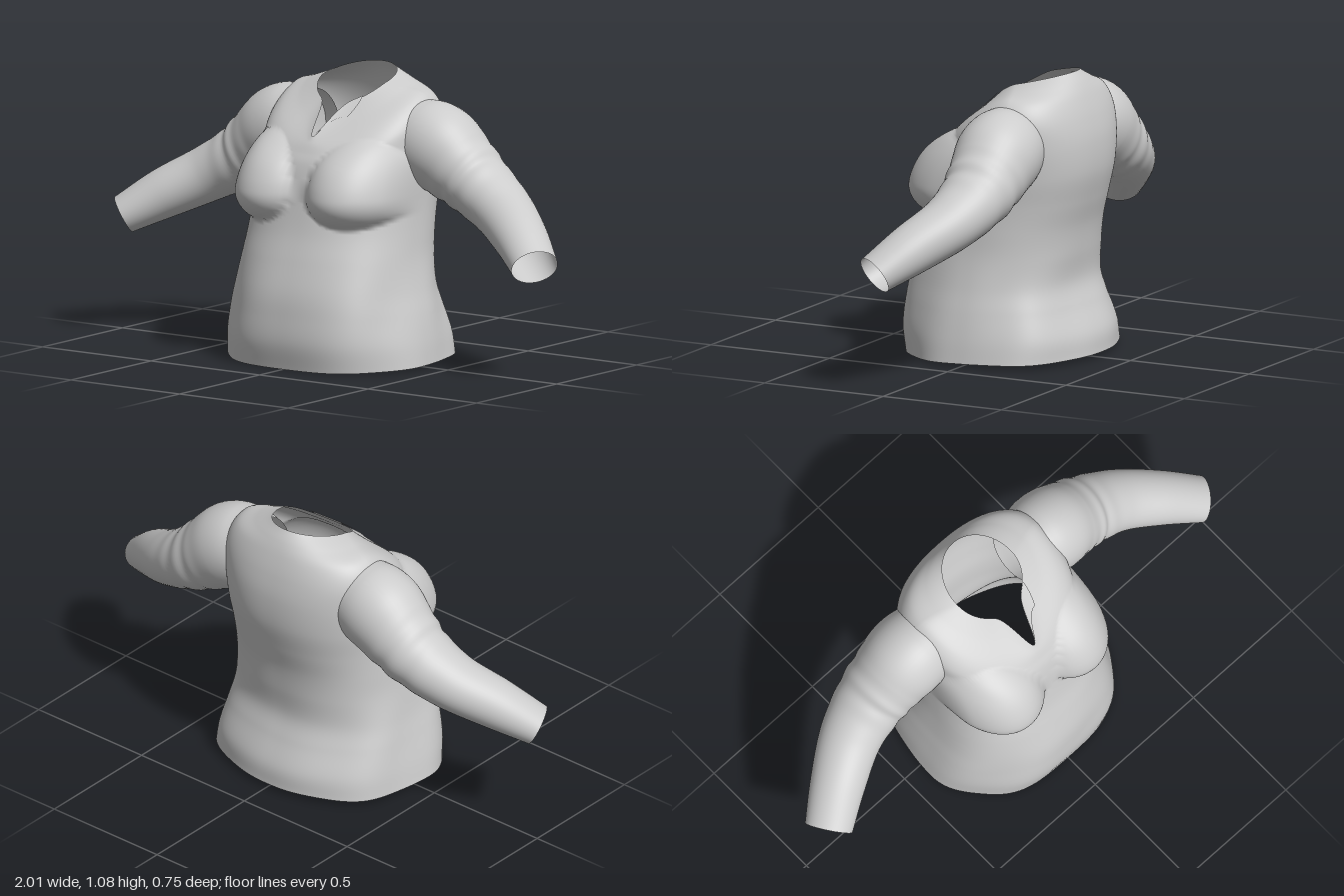
import * as THREE from 'three';

const cloth = new THREE.MeshStandardMaterial({ color: 0xcccccc, side: THREE.DoubleSide });
const { lerp, smoothstep } = THREE.MathUtils;

// Smooth keys: each row is a set of values, sampled at a fractional row number.
function sampler(rows) {
  const stride = rows[0].length;
  const curve = new THREE.CubicInterpolant(rows.map((_, i) => i), rows.flat(), stride, new Float32Array(stride));
  return (t) => Array.from(curve.evaluate(t));
}

// Grid surface from point(u, v), u and v in 0..1; closed grids join the last column to the first.
function surface(name, nu, nv, closed, point) {
  const pos = [], idx = [], cols = closed ? nu : nu + 1;
  for (let j = 0; j <= nv; j++)
    for (let i = 0; i < cols; i++) pos.push(...point(i / nu, j / nv));
  for (let j = 0; j < nv; j++)
    for (let i = 0; i < nu; i++) {
      const a = j * cols + i, b = j * cols + (i + 1) % cols;
      idx.push(a, a + cols, b, b, a + cols, b + cols);
    }
  const geo = new THREE.BufferGeometry();
  geo.setAttribute('position', new THREE.Float32BufferAttribute(pos, 3));
  geo.setIndex(idx);
  geo.computeVertexNormals();
  const mesh = new THREE.Mesh(geo, cloth);
  mesh.name = name;
  return mesh;
}

// Torso rings: half width, z of sides, z front, z back, y sides, y front, y back, neck slit amount
const torsoKeys = [
  [0.422, 0, 0.358, -0.372, 0.015, 0.0, 0.02, 0],
  [0.41, 0, 0.375, -0.365, 0.1, 0.1, 0.1, 0],
  [0.39, 0, 0.37, -0.325, 0.2, 0.2, 0.2, 0],
  [0.37, 0, 0.357, -0.297, 0.29, 0.29, 0.29, 0],
  [0.352, 0, 0.325, -0.305, 0.4, 0.4, 0.4, 0],
  [0.343, -0.02, 0.292, -0.317, 0.5, 0.5, 0.5, 0],
  [0.338, -0.04, 0.268, -0.342, 0.6, 0.6, 0.6, 0],
  [0.336, -0.08, 0.25, -0.365, 0.7, 0.69, 0.71, 0],
  [0.335, -0.12, 0.23, -0.366, 0.82, 0.755, 0.82, 0],
  [0.33, -0.135, 0.208, -0.35, 0.93, 0.795, 0.91, 0.05],
  [0.29, -0.135, 0.193, -0.325, 0.995, 0.82, 0.985, 0.2],
  [0.215, -0.12, 0.18, -0.3, 1.018, 0.837, 1.035, 0.6],
  [0.145, -0.1, 0.17, -0.27, 1.035, 0.85, 1.075, 1],
];
const torsoAt = sampler(torsoKeys);

function torsoPoint(u, v) {
  const a = -u * Math.PI * 2, c = Math.cos(a), s = Math.sin(a);
  const [hw, zc, zf, zb, ys, yf, yb, slit] = torsoAt(v * (torsoKeys.length - 1));
  // Squarish sections below, turning to a rounded opening with a narrow pointed slit at the neck
  const square = lerp(0.85, 1, slit);
  const round = Math.pow(Math.abs(s), square);
  const t = s > 0 ? lerp(round, 0.5 * s + 0.5 * s ** (c > 0 ? 26 : 36), slit) : round;
  let x = hw * Math.sign(c) * Math.pow(Math.abs(c), square);
  let z = zc + t * ((s > 0 ? zf : zb) - zc);
  const y = s > 0 ? ys + t ** 1.3 * (yf - ys) : ys + t * (yb - ys);
  // Bust: two rounded mounds, long slope above and tight curve below
  const dx = (Math.abs(x) - 0.205) / 0.17, dy = (y - 0.645) / (y > 0.645 ? 0.21 : 0.115);
  const mound = Math.max(0, 1 - dx * dx - dy * dy) ** 0.85 * smoothstep(s, -0.1, 0.5);
  z += 0.098 * mound;
  x += 0.045 * mound * c;
  // Loose folds in the skirt
  const loose = 0.007 * smoothstep(0.45 - y, 0, 0.3) * Math.sin(a * 7 + y * 6);
  return [x + c * loose, y, z + s * loose * 0.6];
}

// Left sleeve stations: x, y, z of the centre, radius up, radius across
const sleeveKeys = [
  [0.19, 0.855, -0.135, 0.115, 0.115],
  [0.28, 0.83, -0.135, 0.155, 0.15],
  [0.365, 0.8, -0.137, 0.165, 0.16],
  [0.45, 0.742, -0.14, 0.146, 0.148],
  [0.55, 0.675, -0.135, 0.122, 0.135],
  [0.68, 0.602, -0.1, 0.106, 0.118],
  [0.82, 0.525, -0.02, 0.094, 0.104],
  [0.947, 0.443, 0.065, 0.073, 0.09],
];
const sleeveAt = sampler(sleeveKeys);

function sleevePoint(side) {
  const end = sleeveKeys.length - 1;
  return (u, v) => {
    const t = v * end;
    const [x, y, z, ry, rz] = sleeveAt(t);
    const p0 = sleeveAt(Math.max(0, t - 0.1)), p1 = sleeveAt(Math.min(end, t + 0.1));
    const dir = new THREE.Vector3(p1[0] - p0[0], p1[1] - p0[1], p1[2] - p0[2]).normalize();
    const across = new THREE.Vector3().crossVectors(dir, new THREE.Vector3(0, 1, 0)).normalize();
    const up = new THREE.Vector3().crossVectors(across, dir);
    const a = u * Math.PI * 2 * side;
    // Bunched wrinkles around the upper arm
    const k = 1 + 0.022 * Math.exp(-(((t - 3.7) / 0.7) ** 2)) * Math.sin(t * 9 + Math.sin(a) * 1.5);
    const p = new THREE.Vector3(x, y, z)
      .addScaledVector(up, Math.sin(a) * ry * k)
      .addScaledVector(across, Math.cos(a) * rz * k);
    return [p.x * side, p.y, p.z];
  };
}

export function createModel() {
  const group = new THREE.Group();
  group.name = 'blouse';
  group.add(surface('torso', 144, 110, true, torsoPoint));
  group.add(surface('leftSleeve', 48, 80, true, sleevePoint(1)));
  group.add(surface('rightSleeve', 48, 80, true, sleevePoint(-1)));

  // Turned-back placket flap on the left of the neck slit, coming to a point on the chest
  group.add(surface('placketFlap', 16, 6, false, (u, v) => {
    const width = 0.075 * (1 - Math.abs(2 * u - 1));
    const [x, y, z] = torsoPoint(0.76 + u * 0.12, 1 - v * width);
    return [x, y + 0.003, z + 0.004];
  }));
  return group;
}
